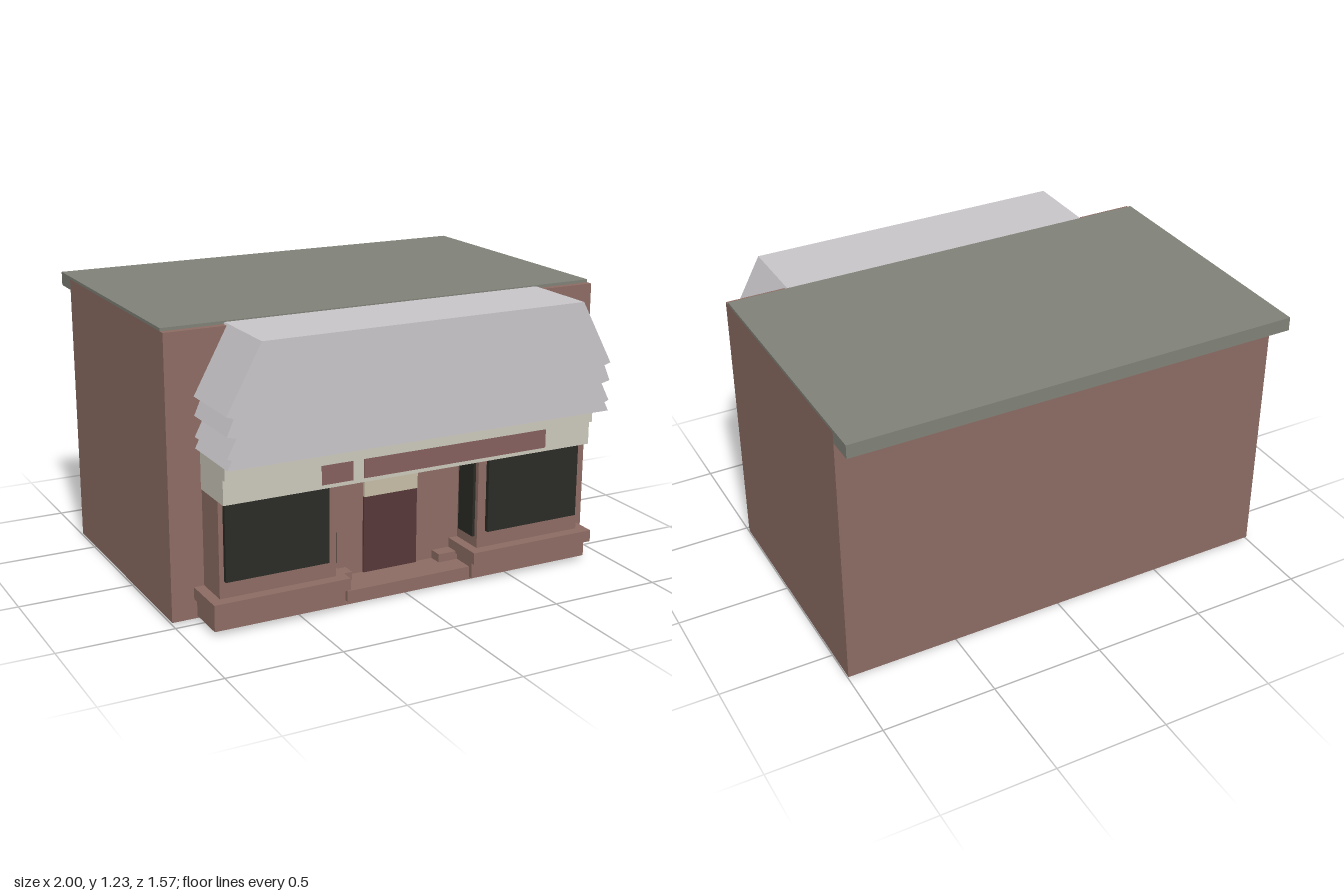
import * as THREE from 'three';

const mat = (color) => new THREE.MeshStandardMaterial({ color, flatShading: true });

export function createModel() {
  const group = new THREE.Group();
  const brick = mat(0x8c6c63), roof = mat(0x808177), awning = mat(0xc9c5ca);
  const cream = mat(0xcbc9bb), glass = mat(0x2b2a26), sign = mat(0x84605f);
  const doorRed = mat(0x583839), lintel = mat(0xc6bda6);

  // box given by its limits on each axis
  function box(name, material, x0, x1, y0, y1, z0, z1) {
    const mesh = new THREE.Mesh(new THREE.BoxGeometry(x1 - x0, y1 - y0, z1 - z0), material);
    mesh.position.set((x0 + x1) / 2, (y0 + y1) / 2, (z0 + z1) / 2);
    mesh.name = name;
    group.add(mesh);
  }

  // building and roof slab with rear overhang
  box('building', brick, -1, 1, 0.01, 1.212, -0.665, 0.465);
  box('roofSlab', roof, -1, 1, 1.212, 1.225, -0.785, 0.435);
  box('roofOverhang', roof, -1, 1, 1.165, 1.212, -0.785, -0.665);

  // awning with stepped, jagged ends
  const edge = [[0.73, 1.22], [0.88, 0.945], [0.85, 0.935], [0.88, 0.867],
    [0.84, 0.857], [0.88, 0.78], [0.86, 0.772], [0.88, 0.733]];
  const outline = [...edge, ...edge.map(([x, y]) => [-x, y]).reverse()];
  const shape = new THREE.Shape(outline.map(([x, y]) => new THREE.Vector2(x, y)));
  const canopy = new THREE.Mesh(
    new THREE.ExtrudeGeometry(shape, { depth: 0.35, bevelEnabled: false }), awning);
  canopy.position.z = 0.435;
  canopy.name = 'awning';
  group.add(canopy);

  // fascia and blank sign panels
  box('fasciaTop', cream, -0.86, 0.857, 0.665, 0.733, 0.465, 0.708);
  box('fascia', cream, -0.86, 0.857, 0.56, 0.665, 0.465, 0.688);
  box('signPanelSmall', sign, -0.435, -0.295, 0.577, 0.66, 0.68, 0.692);
  box('signPanelLong', sign, -0.245, 0.63, 0.577, 0.66, 0.68, 0.692);

  // window bays, mirrored about the door
  for (const s of [-1, 1]) {
    const side = s < 0 ? 'right' : 'left';
    const part = (name, material, a, b, ...rest) =>
      box(side + name, material, Math.min(s * a, s * b), Math.max(s * a, s * b), ...rest);
    const shift = s * 0.012; // plinths sit slightly toward +x
    part('Bay', brick, 0.34, 0.857, 0.02, 0.56, 0.465, 0.625);
    part('Window', glass, 0.38, 0.837, 0.22, 0.56, 0.62, 0.645);
    part('SideWindow', glass, 0.328, 0.345, 0.195, 0.54, 0.49, 0.605);
    part('Plinth', brick, 0.293 + s * shift, 0.878 + s * shift, 0.02, 0.095, 0.465, 0.645);
    part('Sill', brick, 0.285 + s * shift, 0.89 + s * shift, 0.095, 0.147, 0.465, 0.675);
    part('FootBlock', brick, 0.212, 0.405, 0, 0.105, 0.445, 0.525);
  }

  // entrance
  box('basePlate', brick, -0.86, 0.89, 0.01, 0.02, 0.465, 0.625);
  box('doorStep', brick, -0.285, 0.305, 0.015, 0.068, 0.465, 0.625);
  box('door', doorRed, -0.13, 0.127, 0.068, 0.41, 0.46, 0.475);
  box('doorTransom', lintel, -0.13, 0.127, 0.41, 0.5, 0.46, 0.48);

  return group;
}
